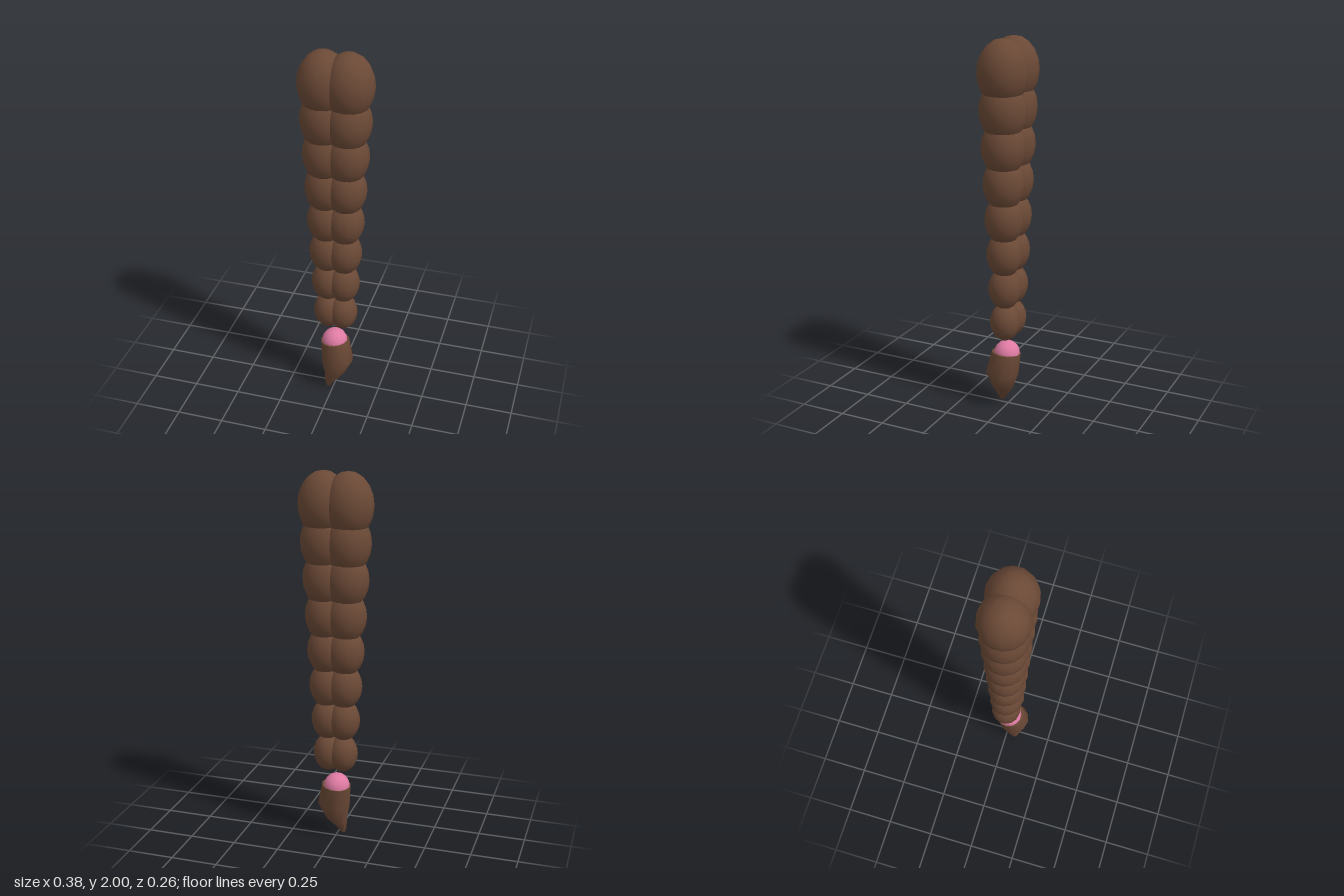
import * as THREE from 'three';
import { toCreasedNormals } from 'three/addons/utils/BufferGeometryUtils.js';

export function createModel() {
  const group = new THREE.Group();
  group.name = 'braid';
  const hair = new THREE.MeshStandardMaterial({ name: 'brown hair', color: 0x6b4936 });
  const pink = new THREE.MeshStandardMaterial({ name: 'pink tie', color: 0xdf7ba3 });

  const add = (name, geometry, material) => {
    const mesh = new THREE.Mesh(geometry, material);
    mesh.name = name;
    group.add(mesh);
    return mesh;
  };

  // Eight pairs of overlapping strands, shrinking downwards
  const strand = new THREE.SphereGeometry(1, 14, 10).rotateY(Math.PI / 2);
  const count = 8;
  for (let i = 0; i < count; i++) {
    const t = i / (count - 1);
    const r = THREE.MathUtils.lerp(0.13, 0.08, t);
    const y = THREE.MathUtils.lerp(1.831, 0.499, t);
    for (const side of [-1, 1]) {
      const mesh = add(side > 0 ? 'leftStrand' : 'rightStrand', strand, hair);
      mesh.scale.set(r, r * 1.3, r);
      mesh.position.set(side * r * 0.5, y, 0);
    }
  }

  // Round hair tie
  add('hairTie', new THREE.SphereGeometry(0.07, 14, 10), pink).position.set(-0.003, 0.3, 0.009);

  // Loose tuft: rings of [x, y, z, radius] from the tie to the tip
  const rings = [
    [0, 0.304, 0.012, 0.079],
    [0.018, 0.185, 0.028, 0.088],
    [0.005, 0.1, 0.032, 0.058],
    [-0.018, 0.045, 0.044, 0.031],
    [-0.027, 0.004, 0.05, 0.011],
  ];
  const tuft = new THREE.CylinderGeometry(1, 1, 1, 12, rings.length - 1);
  const p = tuft.attributes.position;
  for (let i = 0; i < p.count; i++) {
    const [x, y, z, r] = rings[Math.round((0.5 - p.getY(i)) * (rings.length - 1))];
    const dx = p.getX(i) * r;
    const dz = p.getZ(i) * r;
    p.setXYZ(i, x + dx, y + 0.08 * dx + 0.06 * dz, z + dz);
  }
  add('tuft', toCreasedNormals(tuft, Math.PI / 3), hair);

  return group;
}
